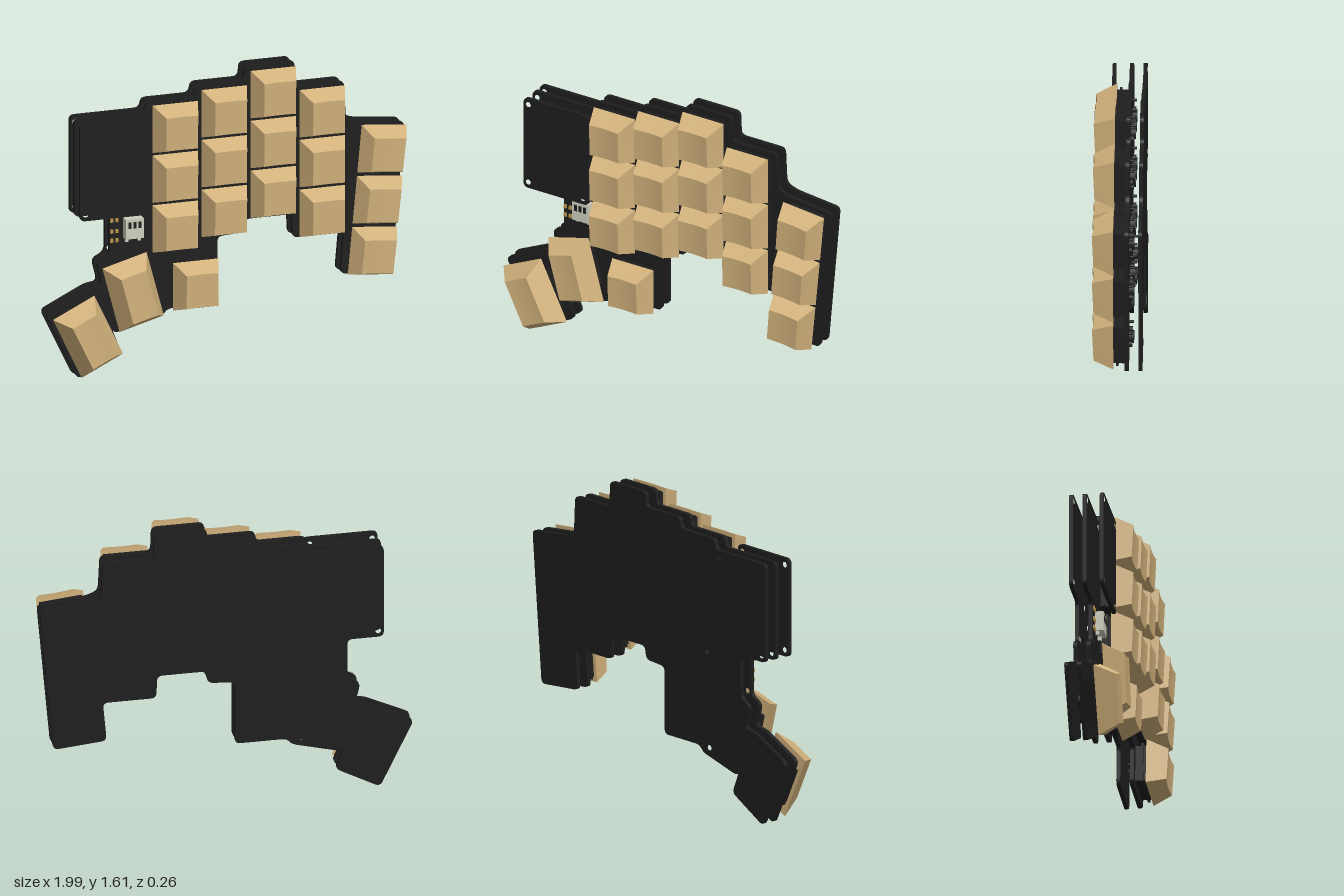
import * as THREE from 'three';

const mat = (color) => new THREE.MeshStandardMaterial({ color });
const black = mat(0x1e1e1e), tan = mat(0xd2b27c), ivory = mat(0xcfcfbf), gold = mat(0xb8954a);

// closed polygon with rounded corners
function roundedShape(points, radius) {
  const shape = new THREE.Shape();
  const v = points.map(([x, y]) => new THREE.Vector2(x, y));
  v.forEach((p, i) => {
    const prev = v[(i + v.length - 1) % v.length], next = v[(i + 1) % v.length];
    const ra = Math.min(radius, p.distanceTo(prev) * 0.45);
    const rb = Math.min(radius, p.distanceTo(next) * 0.45);
    const a = p.clone().add(prev.clone().sub(p).setLength(ra));
    const b = p.clone().add(next.clone().sub(p).setLength(rb));
    if (i === 0) shape.moveTo(a.x, a.y); else shape.lineTo(a.x, a.y);
    shape.quadraticCurveTo(p.x, p.y, b.x, b.y);
  });
  shape.closePath();
  return shape;
}

// flat sheet from z0 to z1 with round screw holes
function plate(name, points, holes, z0, z1) {
  const shape = roundedShape(points, 0.03);
  for (const [x, y] of holes) shape.holes.push(new THREE.Path().absarc(x, y, 0.015, 0, Math.PI * 2, true));
  const geo = new THREE.ExtrudeGeometry(shape, { depth: z1 - z0, bevelEnabled: false, curveSegments: 6 });
  const mesh = new THREE.Mesh(geo, black);
  mesh.name = name;
  mesh.position.z = z0;
  return mesh;
}

function box(name, w, h, d, x, y, z, material) {
  const mesh = new THREE.Mesh(new THREE.BoxGeometry(w, h, d), material);
  mesh.name = name;
  mesh.position.set(x, y, z);
  return mesh;
}

// post along z, ending behind the circuit board
function post(name, r, zEnd, x, y) {
  const length = -0.03 - zEnd;
  const mesh = new THREE.Mesh(new THREE.CylinderGeometry(r, r, length, 16), black);
  mesh.name = name;
  mesh.rotation.x = Math.PI / 2;
  mesh.position.set(x, y, zEnd + length / 2);
  return mesh;
}

// tapered keycap: a box whose front is drawn in, tilted and dished
function capGeometry(w, h, inset, insetTop, insetBottom, dish, tilt) {
  const base = 0.02, front = 0.128;
  const geo = new THREE.BoxGeometry(w, h, front - base, 10, 10, 1);
  const p = geo.attributes.position;
  for (let i = 0; i < p.count; i++) {
    const u = p.getX(i) / (w / 2), t = p.getY(i) / h + 0.5;
    if (p.getZ(i) < 0) { p.setZ(i, base); continue; }
    const bottom = -h / 2 + insetBottom, top = h / 2 - insetTop;
    p.setXYZ(i, u * (w / 2 - inset), bottom + (top - bottom) * t,
      front - dish * (1 - u * u) + tilt * (t - 0.5));
  }
  geo.computeVertexNormals();
  return geo;
}

export function createModel() {
  const model = new THREE.Group();
  model.name = 'splitKeyboardHalf';

  // shared outline of the circuit board and the back plate
  const outline = [
    [-0.84, 1.425], [-0.45, 1.425], [-0.44, 1.48], [-0.175, 1.48], [-0.165, 1.54], [0.10, 1.54],
    [0.105, 1.62], [0.385, 1.62], [0.39, 1.48], [0.66, 1.48], [0.67, 1.275], [0.73, 1.25],
    [0.997, 1.222], [0.925, 0.40], [0.64, 0.425], [0.66, 0.65], [0.375, 0.65], [0.37, 0.78],
    [0.11, 0.78], [0.10, 0.71], [-0.045, 0.70], [-0.045, 0.335], [-0.32, 0.335], [-0.35, 0.30],
    [-0.61, 0.232], [-0.63, 0.25], [-0.58, 0.13], [-0.82, 0.0], [-1.0, 0.375], [-0.75, 0.495],
    [-0.685, 0.50], [-0.715, 0.625], [-0.645, 0.66], [-0.645, 0.89], [-0.84, 0.89],
  ];
  const coverHoles = [[-0.81, 1.39], [-0.475, 1.39], [-0.81, 0.925], [-0.475, 0.925]];
  const throughHoles = [...coverHoles, [0.105, 1.16], [-0.62, 0.68]];
  model.add(plate('circuitBoard', outline, throughHoles, -0.062, -0.04));
  model.add(plate('backPlate', outline,
    [...throughHoles, [-0.38, 1.33], [-0.38, 0.855], [-0.40, 0.335]], -0.133, -0.112));

  // raised cover over the controller
  const cover = [[-0.84, 1.425], [-0.44, 1.425], [-0.44, 0.89], [-0.84, 0.89]];
  model.add(plate('controllerCover', cover, coverHoles, 0.03, 0.05));

  // key positions: x, y, rotation in degrees
  const keys = [[-0.187, 0.47, 0]];
  for (const [x, y] of [[-0.30, 1.345], [-0.028, 1.402], [0.245, 1.478], [0.517, 1.345]])
    for (let row = 0; row < 3; row++) keys.push([x, y - row * 0.273, 0]);
  for (let row = 0; row < 3; row++) keys.push([0.85 - row * 0.0265, 1.107 - row * 0.277, -5.4]);
  const thumbs = [[-0.535, 0.465, 15], [-0.786, 0.246, 25.5]];

  const keyCap = capGeometry(0.252, 0.26, 0.038, 0.045, 0.033, 0.007, 0.008);
  const thumbCap = capGeometry(0.255, 0.37, 0.055, 0.055, 0.055, 0.003, 0);

  function addKey([x, y, degrees], geometry, name) {
    const key = new THREE.Group();
    key.name = name;
    key.position.set(x, y, 0);
    key.rotation.z = THREE.MathUtils.degToRad(degrees);
    const cap = new THREE.Mesh(geometry, tan);
    cap.name = 'keycap';
    key.add(cap);
    // switch housing, its flange and the posts passing through the board
    key.add(box('switchHousing', 0.208, 0.208, 0.066, 0, 0, -0.007, black));
    key.add(box('switchFlange', 0.228, 0.228, 0.013, 0, 0, -0.002, black));
    key.add(post('centrePost', 0.034, -0.088, 0, 0));
    for (const side of [-1, 1]) key.add(post('sidePost', 0.015, -0.08, side * 0.083, 0));
    key.add(post('pin', 0.007, -0.086, 0, 0.089));
    key.add(post('pin', 0.007, -0.086, 0.075, 0.057));
    model.add(key);
  }
  keys.forEach((k) => addKey(k, keyCap, 'key'));
  thumbs.forEach((k) => addKey(k, thumbCap, 'thumbKey'));

  // cable connector with open slots
  const connector = new THREE.Group();
  connector.name = 'cableConnector';
  connector.add(box('connectorBody', 0.10, 0.11, 0.045, -0.52, 0.805, -0.018, ivory));
  for (let i = -1; i <= 1; i++)
    connector.add(box('connectorSlot', 0.016, 0.035, 0.006, -0.52 + i * 0.028, 0.825, 0.004, black));
  for (const side of [-1, 1])
    connector.add(box('connectorFoot', 0.015, 0.03, 0.02, -0.52 + side * 0.035, 0.745, -0.03, ivory));
  model.add(connector);

  // small solder pads beside the connector
  for (const x of [-0.635, -0.605])
    for (const y of [0.74, 0.79, 0.85])
      model.add(box('solderPad', 0.016, 0.02, 0.01, x, y, -0.036, gold));

  return model;
}
